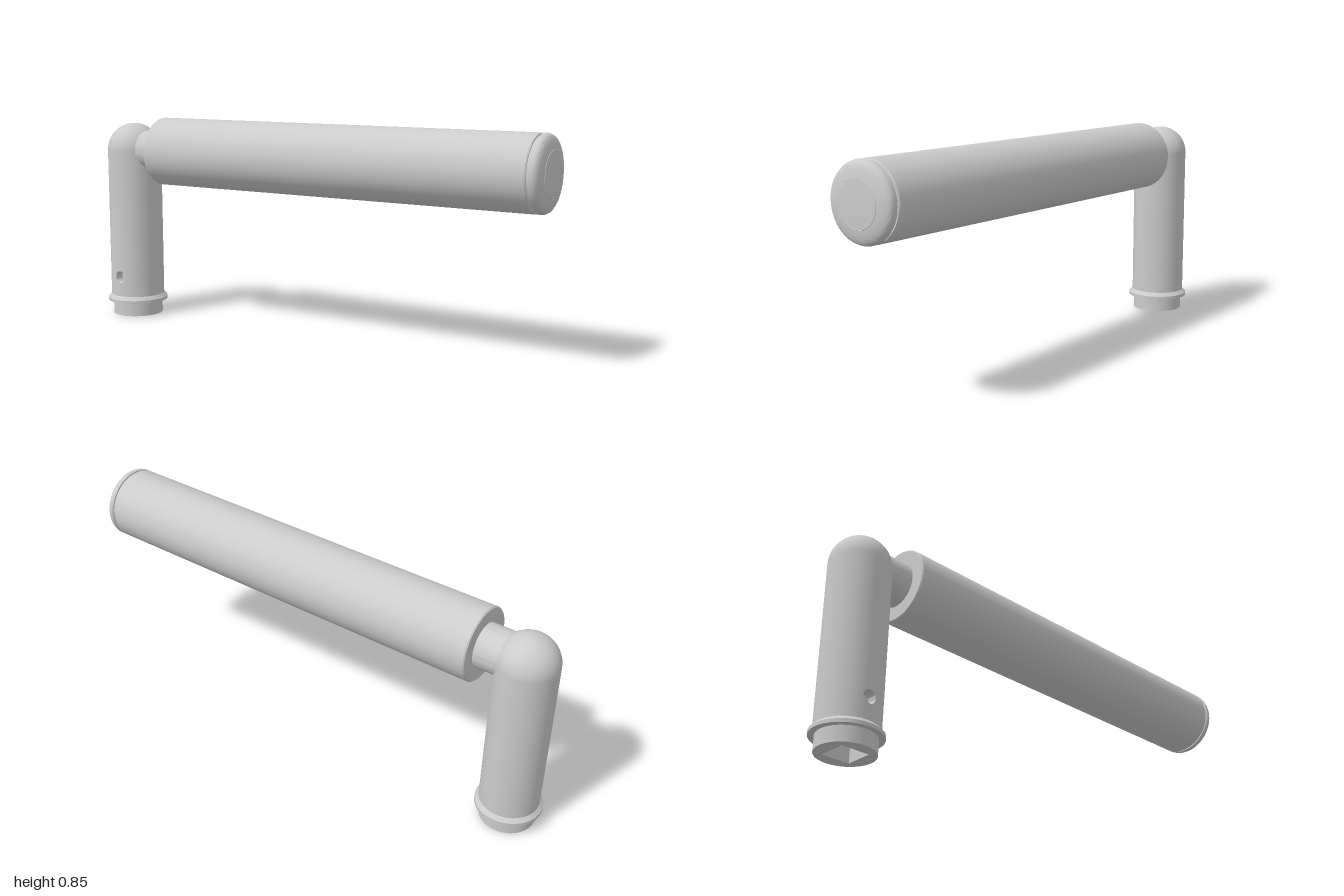
import * as THREE from 'three';
import { toCreasedNormals } from 'three/addons/utils/BufferGeometryUtils.js';

const POST_X = -0.873, POST_R = 0.113, ARM_Y = 0.71;
const HOLE_Y = 0.17, HOLE_R = 0.025, PATCH = 0.04;
const SOCKET = 0.054;

const material = new THREE.MeshStandardMaterial({ color: 0xcccccc });

function add(parent, name, geometry) {
  const mesh = new THREE.Mesh(geometry, material);
  mesh.name = name;
  parent.add(mesh);
  return mesh;
}

// Turned part: [radius, height] points from bottom to top
function turned(points, segments = 72) {
  const profile = points.map(([r, h]) => new THREE.Vector2(r, h));
  return toCreasedNormals(new THREE.LatheGeometry(profile, segments), 0.45);
}

function squarePath(PathClass, h) {
  return new PathClass([[-h, -h], [h, -h], [h, h], [-h, h]].map(([x, y]) => new THREE.Vector2(x, y)));
}

// Upright prism with a square hole
function pierced(shape, y0, y1) {
  shape.holes.push(squarePath(THREE.Path, SOCKET));
  const g = new THREE.ExtrudeGeometry(shape, { depth: y1 - y0, bevelEnabled: false, curveSegments: 48 });
  g.rotateX(-Math.PI / 2).translate(0, y0, 0);
  return toCreasedNormals(g, 0.45);
}

// Curved wall panel with a blind round hole, made from nested loops
function screwHolePanel() {
  const n = 48, rings = 6, pos = [], index = [];
  const onWall = (s, y) => [POST_R * Math.sin(s / POST_R), HOLE_Y + y, POST_R * Math.cos(s / POST_R)];
  for (let j = 0; j <= rings + 2; j++) {
    for (let i = 0; i < n; i++) {
      const a = (i / n) * Math.PI * 2, c = Math.cos(a), s = Math.sin(a);
      const square = PATCH / Math.max(Math.abs(c), Math.abs(s));
      const r = j <= rings ? THREE.MathUtils.lerp(square, HOLE_R, j / rings) : HOLE_R;
      const p = onWall(r * c, r * s);
      if (j > rings) p[2] = 0.07; // bottom of the hole
      if (j === rings + 2) { p[0] = 0; p[1] = HOLE_Y; }
      pos.push(...p);
      if (j > 0) {
        const k = (i + 1) % n, o = (j - 1) * n, q = j * n;
        index.push(o + i, o + k, q + i, o + k, q + k, q + i);
      }
    }
  }
  const g = new THREE.BufferGeometry();
  g.setAttribute('position', new THREE.Float32BufferAttribute(pos, 3));
  g.setIndex(index);
  return toCreasedNormals(g, 0.45);
}

function wall(y0, y1, start = 0, length = Math.PI * 2) {
  return new THREE.CylinderGeometry(POST_R, POST_R, y1 - y0, 72, 1, true, start, length)
    .translate(0, (y0 + y1) / 2, 0);
}

export function createModel() {
  const model = new THREE.Group();
  model.name = 'leverHandle';

  // Upright post
  const post = new THREE.Group();
  post.name = 'post';
  post.position.x = POST_X;
  model.add(post);

  const disc = new THREE.Shape();
  disc.absarc(0, 0, 0.105, 0, Math.PI * 2);
  add(post, 'spigot', pierced(disc, 0, 0.06));
  add(post, 'squareSocket', pierced(squarePath(THREE.Shape, 0.06), 0.05, 0.25));
  add(post, 'socketEnd', new THREE.BoxGeometry(0.12, 0.01, 0.12).translate(0, 0.255, 0));
  add(post, 'collar', turned([[0.09, 0.058], [0.127, 0.058], [0.127, 0.071], [POST_R, 0.086]]));

  const half = PATCH / POST_R;
  add(post, 'lowerWall', wall(0.08, HOLE_Y - PATCH));
  add(post, 'middleWall', wall(HOLE_Y - PATCH, HOLE_Y + PATCH, half, Math.PI * 2 - 2 * half));
  add(post, 'screwHole', screwHolePanel());
  add(post, 'upperWall', wall(HOLE_Y + PATCH, ARM_Y));
  add(post, 'dome', new THREE.SphereGeometry(POST_R, 72, 20, 0, Math.PI * 2, 0, Math.PI / 2)
    .translate(0, ARM_Y, 0));

  // Horizontal arm, turned about the x axis
  const arm = new THREE.Group();
  arm.name = 'arm';
  arm.position.y = ARM_Y;
  arm.rotation.z = -Math.PI / 2;
  model.add(arm);

  add(arm, 'neck', turned([[0.084, POST_X], [0.084, -0.7]]));
  add(arm, 'grip', turned([
    [0, -0.705], [0.136, -0.705], [0.14, -0.7], [0.14, 0.945], [0.137, 0.95], [0.13, 0.95],
  ]));
  add(arm, 'groove', turned([[0.132, 0.945], [0.132, 0.962]]));
  add(arm, 'endCap', turned([
    [0.13, 0.957], [0.137, 0.957], [0.14, 0.961], [0.14, 0.967], [0.138, 0.975], [0.134, 0.982],
    [0.127, 0.987], [0.115, 0.991], [0.1, 0.995], [0.085, 0.997],
  ]));
  add(arm, 'endDisc', turned([[0.085, 0.996], [0.084, 0.998], [0.045, 0.9995], [0, 1]]));
  return model;
}
